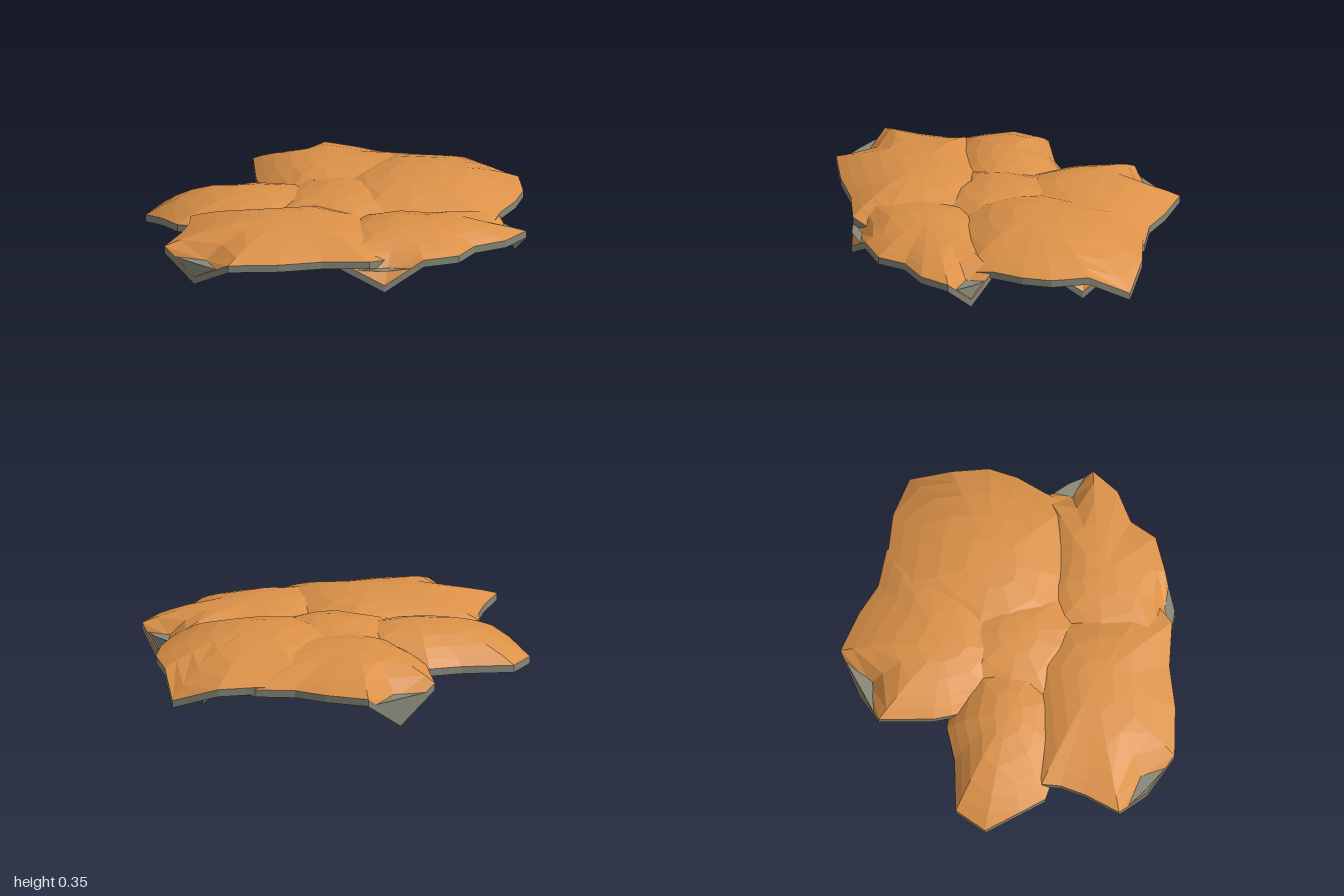
import * as THREE from 'three';

const THICK = 0.04;
const RINGS = [0, 0.25, 0.5, 0.72, 0.88, 1];

const orange = new THREE.MeshStandardMaterial({ color: 0xdb9148, flatShading: true, side: THREE.DoubleSide });
orange.name = 'orange';
const grey = new THREE.MeshStandardMaterial({ color: 0x878879, flatShading: true, side: THREE.DoubleSide });
grey.name = 'grey';

// Folded tips: does the underside stay level behind it, and does a grey flap close its outer side
const OPEN = { level: true, flap: false };
const CLOSED = { level: true, flap: true };
const SOLID = { level: false, flap: true };

// Each cap: centre x, z, peak height, usual rim height, and its rim as [x, z, height, folded tip]
const CAPS = {
  frontLeftCap: {
    cx: -0.25, cz: 0.45, peak: 0.34, base: 0.23,
    rim: [[0.3, 0.5, 0.2], [0.2, 0.25, 0.2], [-0.05, 0.1, 0.22], [-0.4, 0.14], [-0.78, 0.17], [-0.79, 0.27],
      [-0.84, 0.4], [-0.94, 0.58], [-0.79, 0.73, 0.11, CLOSED], [-0.62, 0.875], [-0.35, 0.88],
      [-0.12, 0.85], [0.13, 0.865], [0.28, 0.75, 0.2]],
  },
  rightCap: {
    cx: 0.42, cz: -0.08, peak: 0.353, base: 0.225,
    rim: [[1, -0.1], [0.985, -0.3], [0.98, -0.52, 0.12], [0.75, -0.61, 0.2], [0.55, -0.635, 0.21],
      [0.3, -0.67, 0.21], [0.1, -0.5, 0.19], [-0.1, -0.2, 0.18], [-0.1, 0.1, 0.18], [0.05, 0.35, 0.18],
      [0.35, 0.42, 0.17], [0.6, 0.4, 0.17], [0.8, 0.34, 0.2], [0.86, 0.2], [0.95, 0.05]],
  },
  frontRightCap: {
    cx: 0.35, cz: 0.48, peak: 0.315, base: 0.22,
    rim: [[0.985, 0.45], [0.93, 0.32, 0.1, CLOSED], [0.85, 0.2], [0.6, 0.2, 0.2], [0.3, 0.12, 0.18],
      [0.05, 0.2, 0.19], [-0.1, 0.5], [-0.02, 0.84], [0.21, 0.88, 0.1, OPEN], [0.42, 0.83],
      [0.61, 0.78], [0.7, 0.65], [0.87, 0.58]],
  },
  backCap: {
    cx: -0.03, cz: -0.35, peak: 0.325, base: 0.2,
    rim: [[0.72, -0.06], [0.78, -0.29, 0.045, OPEN], [0.72, -0.5], [0.55, -0.645], [0.35, -0.69],
      [0.2, -0.79], [-0.01, -0.89], [-0.2, -0.79, 0.045, CLOSED], [-0.4, -0.69], [-0.4, -0.4],
      [-0.38, -0.3], [-0.3, -0.05, 0.18], [-0.05, 0.15, 0.17], [0.4, 0.1, 0.17]],
  },
  leftCap: {
    cx: -0.4, cz: 0, peak: 0.31, base: 0.17,
    rim: [[0.1, 0, 0.18], [-0.05, -0.25, 0.16], [-0.38, -0.32, 0.15], [-0.43, -0.33, 0.15], [-0.61, -0.29, 0.14],
      [-0.89, -0.285, 0.13], [-1, -0.13, 0.12], [-0.92, 0.05, 0.17], [-0.85, 0.19, 0.19], [-0.6, 0.28, 0.2],
      [-0.3, 0.3, 0.2], [0, 0.2, 0.19]],
  },
  centreCap: {
    cx: 0.04, cz: 0.05, peak: 0.327, base: 0.19,
    rim: [[0.45, 0.05], [0.35, -0.25], [0.05, -0.4], [-0.25, -0.3], [-0.42, -0.02], [-0.42, 0.25],
      [-0.28, 0.34, 0.045, SOLID], [-0.1, 0.46], [0.1, 0.47], [0.35, 0.35]],
  },
};

// Mesh from a flat list of triangle corners
function triMesh(name, tris, material) {
  const g = new THREE.BufferGeometry().setFromPoints(tris);
  g.computeVertexNormals();
  const mesh = new THREE.Mesh(g, material);
  mesh.name = name;
  return mesh;
}

function makeCap(name, { cx, cz, peak, base, rim }) {
  const n = rim.length;
  // Domed surface; tips fold sharply near the edge, other rim heights blend in gently
  const rows = RINGS.map((t) => rim.map(([x, z, y = base, tip]) => {
    const bend = tip ? (Math.max(0, t - 0.5) / 0.5) ** 2 : t ** 3;
    return new THREE.Vector3(
      cx + (x - cx) * t,
      base + (peak - base) * (1 - t ** 2.2) + (y - base) * bend,
      cz + (z - cz) * t,
    );
  }));
  const lower = (v) => v.clone().setY(v.y - THICK);
  const outerRow = rows[RINGS.length - 1];
  const floorY = base - THICK;
  const floorRow = outerRow.map((v, i) => (rim[i][3]?.level ? v.clone().setY(floorY) : lower(v)));
  const floorCentre = new THREE.Vector3(cx, floorY, cz);
  const top = [], under = [], edge = [];

  for (let i = 0; i < n; i++) {
    const j = (i + 1) % n;
    for (let r = 0; r < RINGS.length - 1; r++) {
      const a = rows[r][i], b = rows[r][j], c = rows[r + 1][i], d = rows[r + 1][j];
      if (r === 0) top.push(a, c, d);
      else if (rim[j][3]) top.push(b, c, d, a, c, b);
      else top.push(a, c, d, a, d, b);
    }
    under.push(floorCentre, floorRow[j], floorRow[i]);
    // Flap across the outside of a folded tip
    if (rim[i][3]?.flap) under.push(floorRow[(i + n - 1) % n], lower(outerRow[i]), floorRow[j]);
    const p = outerRow[i], q = outerRow[j];
    edge.push(p, lower(p), lower(q), p, lower(q), q);
  }

  const cap = new THREE.Group();
  cap.name = name;
  cap.add(
    triMesh('topSkin', top, orange),
    triMesh('underside', under, grey),
    triMesh('rimEdge', edge, grey),
  );
  return cap;
}

export function createModel() {
  const model = new THREE.Group();
  model.name = 'overlappingCaps';
  for (const [name, spec] of Object.entries(CAPS)) model.add(makeCap(name, spec));
  return model;
}
